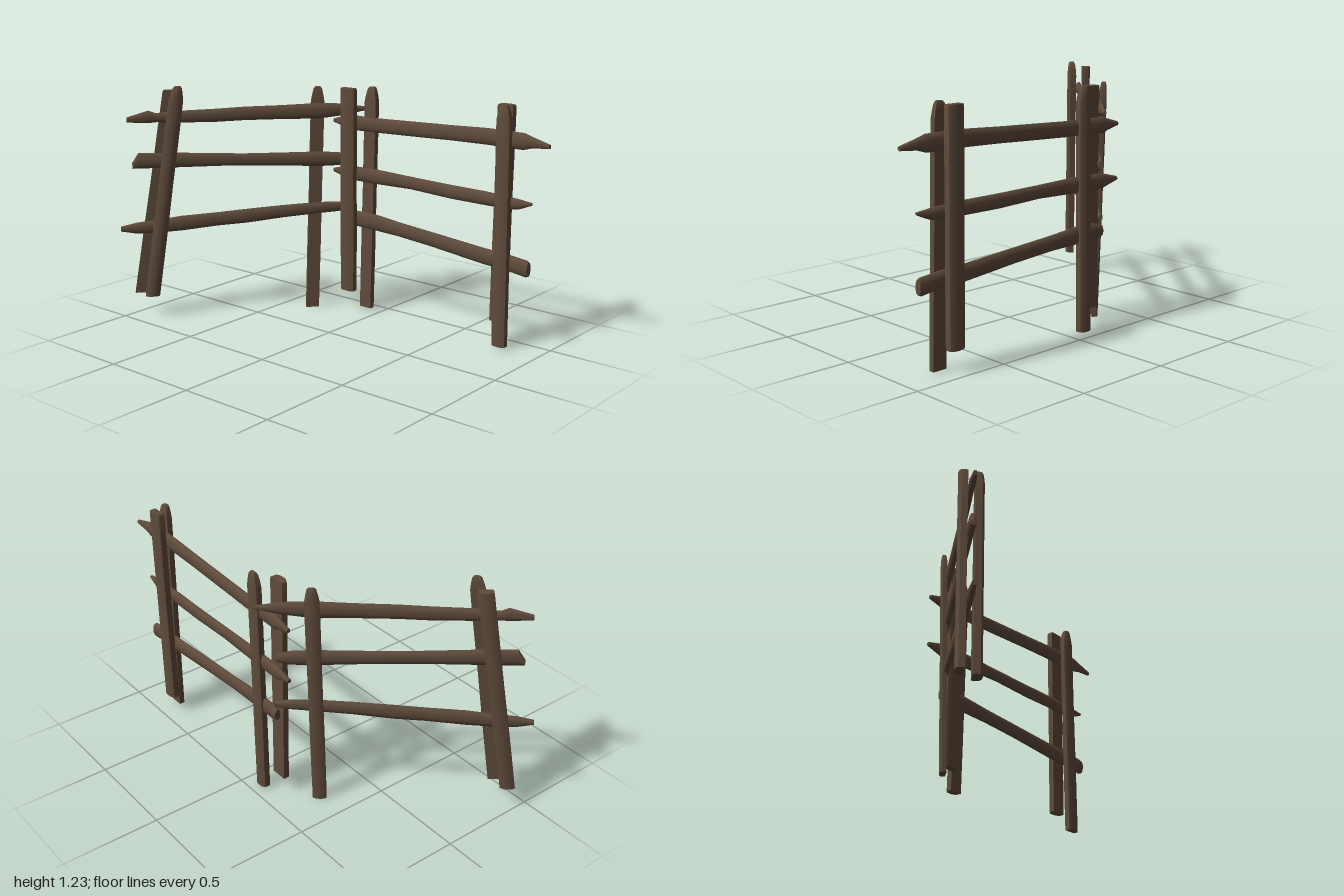
import * as THREE from 'three';
import { toCreasedNormals } from 'three/addons/utils/BufferGeometryUtils.js';

const V3 = (x, y, z) => new THREE.Vector3(x, y, z);

// Cross-sections in units of (width, thickness), counter-clockwise
const SPLIT_LOG = [[-.5, -.5], [.5, -.5], [.5, .2], [.28, .44], [0, .5], [-.28, .44], [-.5, .2]];
const ROUND_RAIL = [[-.5, -.15], [-.38, -.38], [-.15, -.5], [.15, -.5], [.38, -.38], [.5, -.15],
  [.5, .15], [.38, .38], [.15, .5], [-.15, .5], [-.38, .38], [-.5, .15]];

// Skins a row of stations {c, w, t}; u is the width direction, v the thickness direction
function loft(section, stations, u, v) {
  const n = section.length, pos = [], idx = [];
  for (const { c, w, t } of stations)
    for (const [a, b] of section) {
      const p = c.clone().addScaledVector(u, a * w).addScaledVector(v, b * t);
      pos.push(p.x, p.y, p.z);
    }
  const last = stations.length - 1;
  for (let i = 0; i < last; i++)
    for (let j = 0; j < n; j++) {
      const a = i * n + j, b = i * n + (j + 1) % n;
      idx.push(a, b, b + n, a, b + n, a + n);
    }
  for (let j = 1; j < n - 1; j++) {
    idx.push(0, j + 1, j);
    idx.push(last * n, last * n + j, last * n + j + 1);
  }
  const g = new THREE.BufferGeometry();
  g.setAttribute('position', new THREE.Float32BufferAttribute(pos, 3));
  g.setIndex(idx);
  return toCreasedNormals(g, 0.75);
}

// The two fence panels: running direction, outward direction, and z along x or x along z
const STRAIGHT = { d: V3(1, 0, 0), n: V3(0, 0, 1), at: (x, y) => V3(x, y, -.425 + (x + .3) * .015) };
const SLANTED = { d: V3(.645, 0, -.764), n: V3(.764, 0, .645), at: (z, y) => V3(-.985 + (.49 - z) * .843, y, z) };

export function createModel() {
  const model = new THREE.Group();
  model.name = 'cornerFence';
  const wood = new THREE.MeshStandardMaterial({ color: 0x5e4a3b });
  wood.name = 'weatheredWood';

  const add = (name, geometry) => {
    const mesh = new THREE.Mesh(geometry, wood);
    mesh.name = name;
    model.add(mesh);
  };

  // Upright split logs; worn ones taper to a knob at the top
  function post(name, panel, side, from, to, w, t, worn) {
    const a = V3(...from), b = V3(...to);
    const len = a.distanceTo(b);
    const rows = [[0, .98], [.3, 1], [.55, .97], [.8, 1]];
    if (worn) rows.push([1 - .075 / len, .98], [1 - .04 / len, .8], [1 - .012 / len, .62], [1, .4]);
    else rows.push([1 - .01 / len, 1], [1, .9]);
    const stations = rows.map(([k, s]) => ({ c: a.clone().lerp(b, k), w: w * s, t: t * (s < .9 ? s + .1 : 1) }));
    add(name, loft(SPLIT_LOG, stations, panel.d.clone().multiplyScalar(-side), panel.n.clone().multiplyScalar(side)));
  }

  post('innerBackPost', STRAIGHT, -1, [-.095, .01, -.437], [-.073, 1.21, -.44], .073, .042, true);
  post('innerFrontPost', STRAIGHT, 1, [-.184, .1, -.378], [-.184, 1.2, -.37], .088, .042, false);
  post('outerBackPost', STRAIGHT, -1, [.733, .11, -.445], [.735, 1.2, -.453], .086, .045, false);
  post('outerFrontPost', STRAIGHT, 1, [.783, .01, -.37], [.762, 1.21, -.377], .075, .04, true);
  post('slantedInnerPost', SLANTED, -1, [-.347, 0, -.27], [-.343, 1.2, -.315], .07, .033, true);
  post('slantedOuterFrontPost', SLANTED, 1, [-.868, .12, .415], [-.753, 1.23, .3], .075, .045, true);
  post('slantedOuterBackPost', SLANTED, -1, [-.965, .12, .402], [-.84, 1.2, .272], .075, .042, false);

  // Rails: rows of [place along the panel, low y, high y], ends hewn to points
  function rail(name, panel, rows) {
    const stations = rows.map(([s, lo, hi]) => ({
      c: panel.at(s, (lo + hi) / 2), w: hi - lo, t: Math.min(.034, .012 + (hi - lo) * .33),
    }));
    add(name, loft(ROUND_RAIL, stations, V3(0, 1, 0), panel.n));
  }

  rail('topRail', STRAIGHT, [[-.32, 1.0, 1.02], [-.25, .985, 1.04], [-.22, .972, 1.05], [-.05, .976, 1.05],
    [.2, .985, 1.06], [.45, .995, 1.07], [.65, 1.0, 1.08], [.86, 1.0, 1.08], [.91, 1.015, 1.065], [1.0, 1.022, 1.042]]);
  rail('middleRail', STRAIGHT, [[-.32, .73, .75], [-.25, .712, .768], [-.22, .703, .775], [-.05, .703, .78],
    [.2, .71, .773], [.45, .7, .768], [.65, .7, .767], [.8, .7, .76], [.85, .71, .757], [.915, .737, .75]]);
  rail('lowerRail', STRAIGHT, [[-.22, .465, .52], [-.17, .455, .535], [-.05, .452, .537], [.12, .447, .52],
    [.35, .43, .503], [.65, .4, .48], [.8, .393, .472], [.9, .38, .462], [.913, .385, .455]]);

  rail('slantedTopRail', SLANTED, [[.465, 1.042, 1.068], [.38, 1.037, 1.1], [.35, 1.04, 1.085], [.26, 1.035, 1.095],
    [.12, 1.033, 1.1], [0, 1.038, 1.107], [-.15, 1.038, 1.11], [-.3, 1.035, 1.116], [-.4, 1.05, 1.11],
    [-.46, 1.065, 1.097], [-.5, 1.075, 1.09]]);
  rail('slantedMiddleRail', SLANTED, [[.45, .8, .83], [.425, .8, .88], [.26, .8, .875], [.1, .8, .865],
    [0, .797, .86], [-.15, .79, .858], [-.3, .78, .857], [-.38, .782, .85], [-.42, .795, .835]]);
  rail('slantedLowerRail', SLANTED, [[.505, .467, .492], [.44, .452, .51], [.36, .453, .52], [.26, .46, .537],
    [.12, .478, .548], [0, .487, .56], [-.15, .508, .573], [-.3, .523, .582], [-.38, .53, .58], [-.43, .545, .57]]);

  return model;
}
